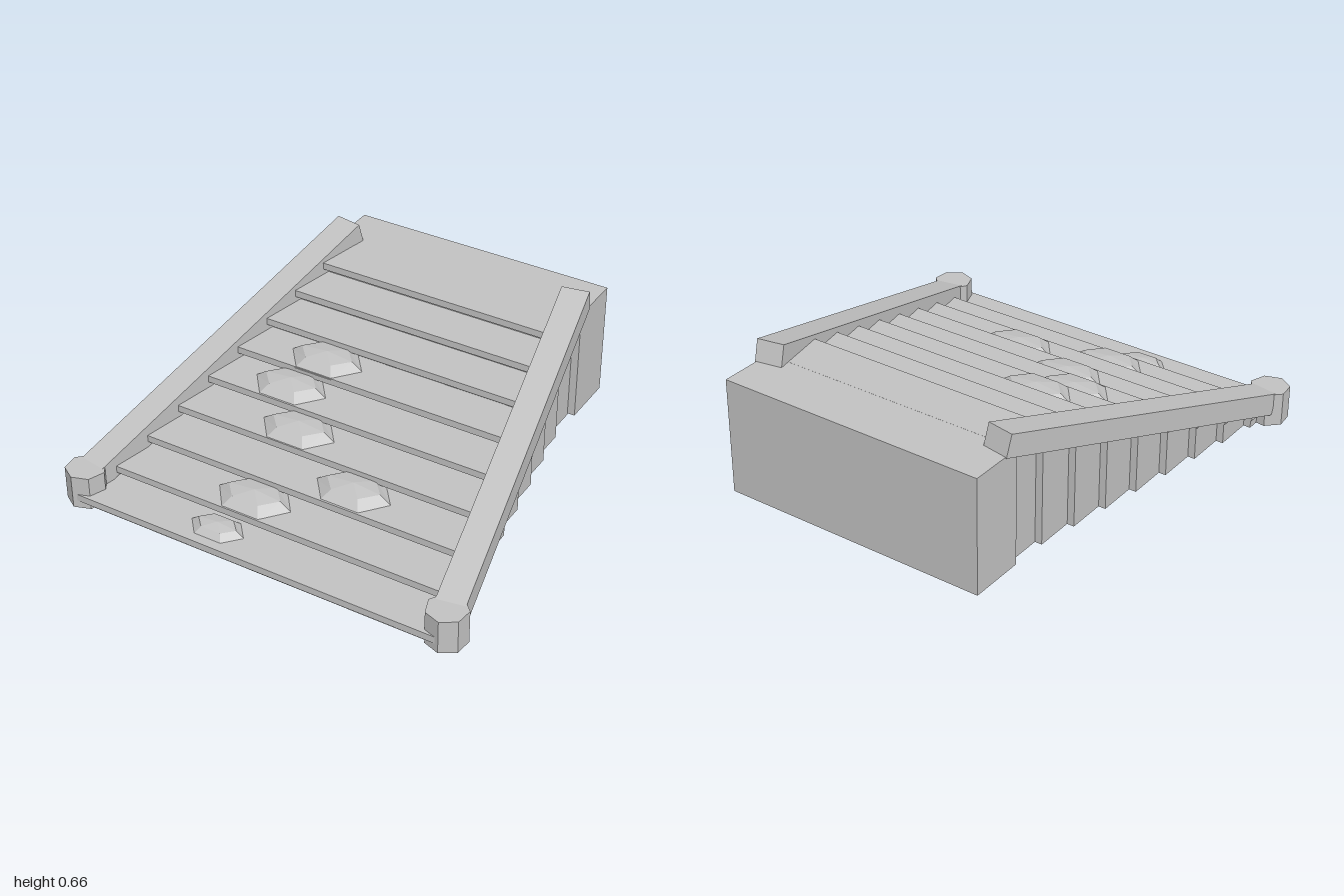
import * as THREE from 'three';

export function createModel() {
  const model = new THREE.Group();
  model.name = 'stairway';
  const stone = new THREE.MeshStandardMaterial({ color: 0xc2c2c2 });
  stone.name = 'grey stone';

  const add = (name, geometry, x = 0, y = 0, z = 0) => {
    const mesh = new THREE.Mesh(geometry, stone);
    mesh.name = name;
    mesh.position.set(x, y, z);
    model.add(mesh);
    return mesh;
  };
  // Box given by half width, vertical range and depth range
  const block = (name, half, y0, y1, z0, z1) =>
    add(name, new THREE.BoxGeometry(half * 2, y1 - y0, z1 - z0), 0, (y0 + y1) / 2, (z0 + z1) / 2);

  // Nine narrowing steps, each a solid body with an overhanging tread
  const front = (i) => (i === 9 ? -0.735 : 0.99 - i * 0.188);
  const top = (i) => 0.07 + i * 0.0613;
  const overhang = 0.035;
  for (let i = 0; i < 9; i++) {
    const half = 0.89 - i * 0.034;
    const back = i === 8 ? front(9) : front(i + 1) - overhang;
    block('stepBody', half - 0.006, 0, top(i) - 0.033, back, front(i) - overhang);
    block('stepTread', half, top(i) - 0.033, top(i), back, front(i));
  }

  // Landing at the back
  block('landing', 0.648, 0.008, 0.56, -1, -0.735);

  // Sloping side rails ending in posts
  for (const side of [1, -1]) {
    const low = new THREE.Vector3(side * 0.89, 0.108, 0.86);
    const high = new THREE.Vector3(side * 0.592, 0.606, -0.787);
    const rail = add('sideRail', new THREE.BoxGeometry(0.13, 0.104, low.distanceTo(high)));
    rail.position.copy(low).add(high).multiplyScalar(0.5);
    rail.lookAt(high);

    const post = add('railPost', new THREE.CylinderGeometry(0.092, 0.092, 0.16, 7).toNonIndexed(), side * 0.897, 0.08, 0.905);
    post.geometry.computeVertexNormals();
    post.rotation.y = side * 0.122;
  }

  // Faceted cobble: hexagon rim, bevel, shallow crown
  const cobbleGeometry = (w, d, h) => {
    const rings = [[1, 1, -0.005], [0.69, 0.62, h * 0.72], [0, 0, h]];
    const positions = [];
    const point = ([sx, sz, y], k) => {
      const a = (k * Math.PI) / 3;
      return [Math.cos(a) * w * sx, y, (Math.sin(a) / Math.sin(Math.PI / 3)) * d * sz];
    };
    for (let r = 0; r < 2; r++) {
      for (let k = 0; k < 6; k++) {
        const a = point(rings[r], k), b = point(rings[r], k + 1);
        const c = point(rings[r + 1], k), e = point(rings[r + 1], k + 1);
        positions.push(...a, ...c, ...b);
        if (r === 0) positions.push(...b, ...c, ...e);
      }
    }
    const geometry = new THREE.BufferGeometry();
    geometry.setAttribute('position', new THREE.Float32BufferAttribute(positions, 3));
    geometry.computeVertexNormals();
    return geometry;
  };

  // Cobbles: x, z, half width, half depth, step number
  const cobbles = [
    [-0.235, 0.868, 0.14, 0.082, 0],
    [-0.17, 0.68, 0.19, 0.12, 1],
    [0.207, 0.49, 0.19, 0.12, 2],
    [-0.187, 0.305, 0.19, 0.12, 3],
    [-0.35, 0.115, 0.19, 0.12, 4],
    [-0.275, -0.068, 0.19, 0.12, 5],
  ];
  for (const [x, z, w, d, step] of cobbles) {
    add('cobble', cobbleGeometry(w, d, w * 0.26), x, top(step), z);
  }
  return model;
}
